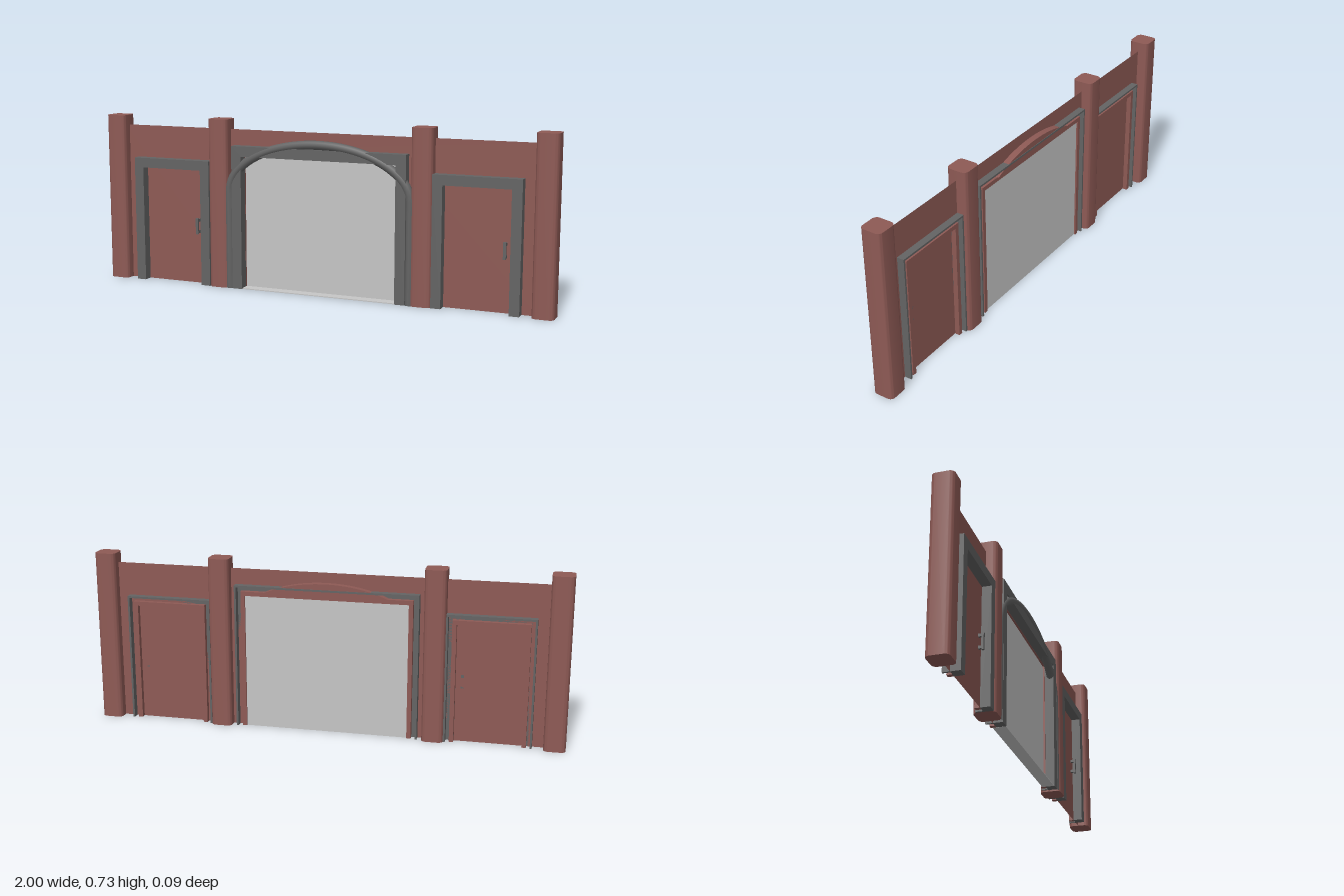
import * as THREE from 'three';
import { toCreasedNormals } from 'three/addons/utils/BufferGeometryUtils.js';

const mat = (name, color, side = THREE.FrontSide) => {
  const m = new THREE.MeshStandardMaterial({ color, side });
  m.name = name;
  return m;
};

export function createModel() {
  const model = new THREE.Group();
  model.name = 'gateWall';
  const red = mat('brickRed', 0x8e5a55, THREE.DoubleSide);
  const gray = mat('darkGray', 0x646464);
  const pale = mat('paleGray', 0xc6c6c6, THREE.DoubleSide);

  const add = (name, geo, material, x = 0, y = 0, z = 0, parent = model) => {
    const m = new THREE.Mesh(geo, material);
    m.name = name;
    m.position.set(x, y, z);
    parent.add(m);
    return m;
  };
  const box = (name, w, h, d, material, x, y, z, parent) =>
    add(name, new THREE.BoxGeometry(w, h, d), material, x, y, z, parent);

  // Upside-down U band standing on the ground, of half width w, height h, thickness t
  const band = (w, h, t, depth) => {
    const s = new THREE.Shape([
      [-w, 0], [-w, h], [w, h], [w, 0],
      [w - t, 0], [w - t, h - t], [t - w, h - t], [t - w, 0],
    ].map(([x, y]) => new THREE.Vector2(x, y)));
    return new THREE.ExtrudeGeometry(s, { depth, bevelEnabled: false });
  };

  // Front moulding, thin rear rim and red rear lining of an opening
  const frame = (name, x, w, h, t) => {
    const g = new THREE.Group();
    g.name = name;
    g.position.x = x;
    add('frontMoulding', band(w, h, t, 0.04), gray, 0, 0, 0, g);
    add('rearRim', band(w, h, 0.008, 0.03), gray, 0, 0, -0.03, g);
    add('rearLining', band(w - t + 0.018, h - t + 0.018, 0.018, 0.021), red, 0, 0, -0.022, g);
    model.add(g);
  };

  // Thin wall sheet with the gate opening cut from its foot
  const wall = new THREE.Shape([
    [-0.93, 0], [-0.93, 0.685], [0.93, 0.685], [0.93, 0],
    [0.37, 0], [0.37, 0.6], [-0.37, 0.6], [-0.37, 0],
  ].map(([x, y]) => new THREE.Vector2(x, y)));
  add('wall', new THREE.ShapeGeometry(wall), red);

  // Pillars with rounded corners
  const a = 0.045, r = 0.02, sq = new THREE.Shape();
  sq.absarc(a - r, a - r, r, 0, Math.PI / 2);
  sq.absarc(r - a, a - r, r, Math.PI / 2, Math.PI);
  sq.absarc(r - a, r - a, r, Math.PI, Math.PI * 1.5);
  sq.absarc(a - r, r - a, r, Math.PI * 1.5, Math.PI * 2);
  const prism = new THREE.ExtrudeGeometry(sq, { depth: 0.728, bevelEnabled: false, curveSegments: 5 });
  prism.rotateX(-Math.PI / 2);
  const pillarGeo = toCreasedNormals(prism, 0.7);
  for (const x of [-0.955, -0.455, 0.455, 0.955]) add('pillar', pillarGeo, red, x);

  // Side doors: frame and handle
  for (const s of [-1, 1]) {
    const x = s * 0.682;
    frame('doorFrame', x, 0.182, 0.545, 0.042);
    const hx = x + 0.112;
    box('doorHandle', 0.012, 0.07, 0.008, gray, hx, 0.255, 0.018);
    for (const dy of [-0.025, 0.025]) box('handleMount', 0.012, 0.012, 0.016, gray, hx, 0.255 + dy, 0.008);
  }

  // Central gate: frame, panel and threshold
  frame('gateFrame', 0, 0.39, 0.617, 0.044);
  box('gatePanel', 0.694, 0.575, 0.006, pale, 0, 0.2875, -0.012);
  box('threshold', 0.69, 0.004, 0.05, pale, 0, 0.002, 0.012);

  // Round moulding: straight legs joined by a half ellipse
  const pts = [];
  for (let i = 0; i < 6; i++) pts.push(new THREE.Vector3(-0.406, i * 0.07, 0.025));
  for (let i = 0; i <= 32; i++) {
    const t = Math.PI * (1 - i / 32);
    pts.push(new THREE.Vector3(0.406 * Math.cos(t), 0.42 + 0.216 * Math.sin(t), 0.025));
  }
  for (let i = 5; i >= 0; i--) pts.push(new THREE.Vector3(0.406, i * 0.07, 0.025));
  const tube = new THREE.TubeGeometry(new THREE.CatmullRomCurve3(pts), 90, 0.019, 10);
  add('archMoulding', tube, gray);

  // Rear arch lip rising above the gate frame
  const lip = new THREE.Shape();
  lip.absellipse(0, 0.42, 0.41, 0.222, Math.PI * 0.28, Math.PI * 0.72, false);
  add('rearArchLip', toCreasedNormals(
    new THREE.ExtrudeGeometry(lip, { depth: 0.028, bevelEnabled: false, curveSegments: 24 }), 0.6), red, 0, 0, -0.028);

  return model;
}
